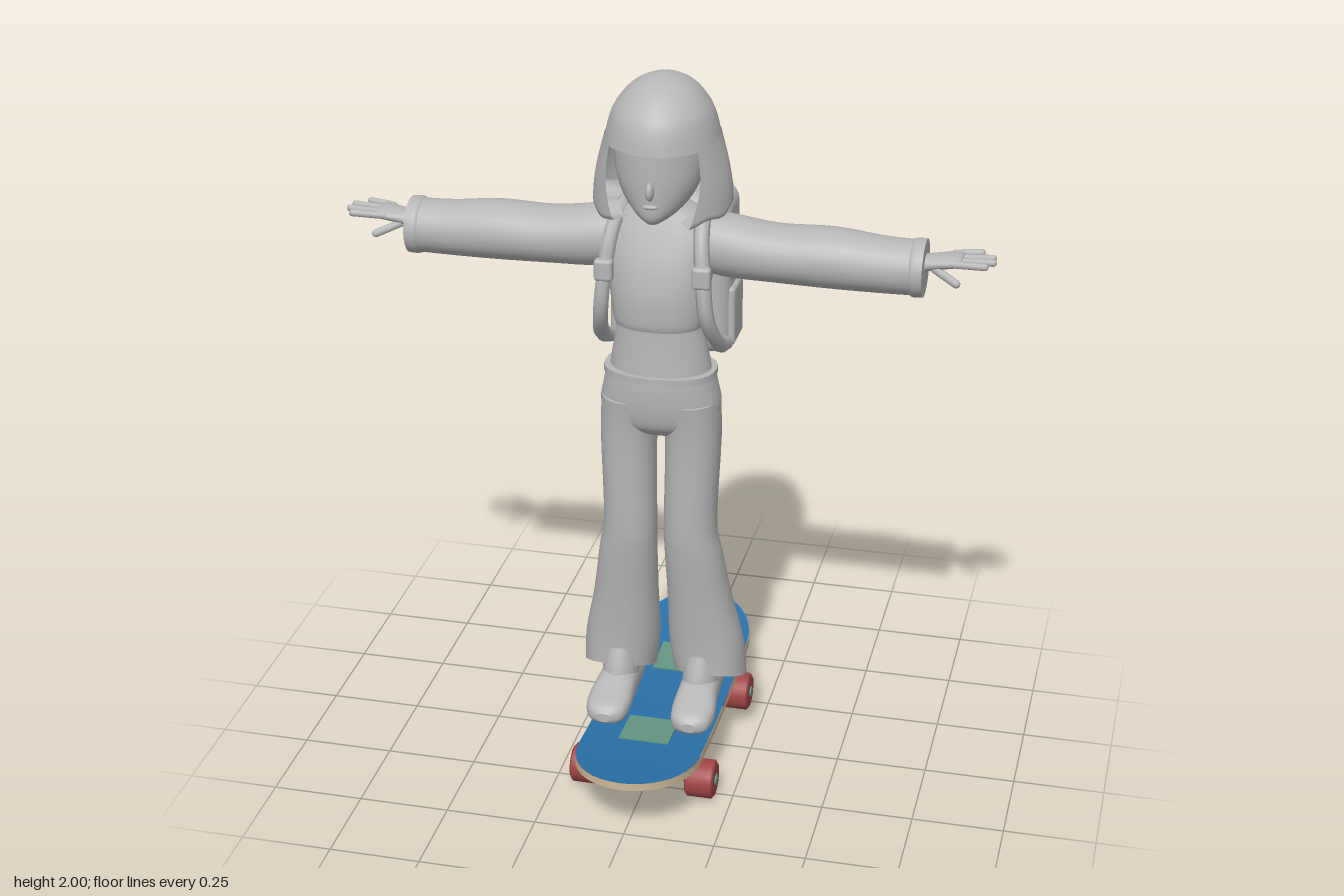
import * as THREE from 'three';
import { RoundedBoxGeometry } from 'three/addons/geometries/RoundedBoxGeometry.js';
import { ParametricGeometry } from 'three/addons/geometries/ParametricGeometry.js';

const material = (name, color, side = THREE.FrontSide) => {
  const m = new THREE.MeshStandardMaterial({ color, side });
  m.name = name;
  return m;
};
const cubic = (a, b, c, d, t) =>
  0.5 * (2 * b + (c - a) * t + (2 * a - 5 * b + 4 * c - d) * t * t + (3 * b - a - 3 * c + d) * t ** 3);

// Smooth closed body through rows of [position, centreU, radiusU, centreV, radiusV] along an axis
function loft(rows, axis = 'y', e = 2, n = 28, steps = 4) {
  const rings = [], pos = [], idx = [];
  const at = (i) => rows[Math.min(rows.length - 1, Math.max(0, i))];
  for (let i = 0; i < rows.length - 1; i++)
    for (let k = 0; k < steps; k++)
      rings.push(at(i).map((_, c) => cubic(at(i - 1)[c], at(i)[c], at(i + 1)[c], at(i + 2)[c], k / steps)));
  rings.push(at(rows.length - 1));
  const put = (p, u, v) => pos.push(...(axis === 'y' ? [u, p, v] : axis === 'x' ? [p, u, v] : [u, v, p]));
  const ring = ([p, cu, ru, cv, rv]) => {
    for (let j = 0; j < n; j++) {
      const a = (j / n) * Math.PI * 2, c = Math.cos(a), s = Math.sin(a);
      put(p, cu + ru * Math.sign(c) * Math.abs(c) ** (2 / e), cv + rv * Math.sign(s) * Math.abs(s) ** (2 / e));
    }
  };
  rings.forEach(ring);
  for (let i = 0; i < rings.length - 1; i++)
    for (let j = 0; j < n; j++) {
      const a = i * n + j, b = i * n + ((j + 1) % n);
      idx.push(a, b, a + n, b, b + n, a + n);
    }
  // flat end caps
  [rings[0], rings[rings.length - 1]].forEach((r, end) => {
    const base = pos.length / 3;
    ring(r);
    put(r[0], r[1], r[3]);
    for (let j = 0; j < n; j++) {
      const a = base + j, b = base + ((j + 1) % n);
      idx.push(...(end ? [a, b, base + n] : [b, a, base + n]));
    }
  });
  // make every face point outward
  let volume = 0;
  const P = (i) => new THREE.Vector3().fromArray(pos, i * 3);
  for (let i = 0; i < idx.length; i += 3) volume += P(idx[i]).dot(P(idx[i + 1]).cross(P(idx[i + 2])));
  if (volume < 0) idx.reverse();
  const g = new THREE.BufferGeometry();
  g.setAttribute('position', new THREE.Float32BufferAttribute(pos, 3));
  g.setIndex(idx);
  g.computeVertexNormals();
  return g;
}

function surface(fn, u, v) {
  const g = new ParametricGeometry(fn, u, v);
  g.computeVertexNormals();
  return g;
}

const tube = (points, r) => new THREE.TubeGeometry(
  new THREE.CatmullRomCurve3(points.map((p) => new THREE.Vector3(...p))), 32, r, 8);

export function createModel() {
  const model = new THREE.Group();
  const grey = material('figure grey', 0xb6b6b6);
  const greyOpen = material('hair grey', 0xb6b6b6, THREE.DoubleSide);
  const blue = material('deck blue', 0x2a70a8);
  const tan = material('deck edge tan', 0xcdb998);
  const red = material('wheel red', 0xa04545);
  const green = material('truck green', 0x639682);
  const add = (name, geometry, mat = grey, x = 0, y = 0, z = 0, parent = model) => {
    const m = new THREE.Mesh(geometry, mat);
    m.name = name;
    m.position.set(x, y, z);
    parent.add(m);
    return m;
  };
  // rod with round ends between two points
  const rod = (name, a, b, r, mat = grey) => {
    const A = new THREE.Vector3(...a), B = new THREE.Vector3(...b), d = B.clone().sub(A);
    const m = add(name, new THREE.CapsuleGeometry(r, d.length() - 2 * r, 4, 10), mat);
    m.position.copy(A).add(B).multiplyScalar(0.5);
    m.quaternion.setFromUnitVectors(new THREE.Vector3(0, 1, 0), d.normalize());
  };

  // Head and face
  add('head', loft([[1.64, 0, 0.02, 0.135, 0.03], [1.66, 0, 0.055, 0.1, 0.077], [1.7, 0, 0.09, 0.08, 0.1],
    [1.76, 0, 0.115, 0.065, 0.117], [1.85, 0, 0.125, 0.055, 0.125]]));
  add('nose', new THREE.SphereGeometry(1, 12, 8), grey, 0, 1.735, 0.182).scale.set(0.012, 0.025, 0.018);
  add('lips', new THREE.SphereGeometry(1, 12, 8), grey, 0, 1.692, 0.176).scale.set(0.022, 0.007, 0.01);
  add('neck', new THREE.CylinderGeometry(0.048, 0.055, 0.14, 20), grey, 0, 1.65, 0.03);

  // Bobbed hair: cap with fringe, then a curtain open at the face
  add('hairCap', loft([[2, 0, 0.01, 0.02, 0.01], [1.99, 0, 0.05, 0.024, 0.06], [1.965, 0, 0.09, 0.025, 0.105],
    [1.92, 0, 0.125, 0.03, 0.145], [1.88, 0, 0.14, 0.03, 0.163], [1.835, 0, 0.15, 0.031, 0.171]], 'y', 2, 40));
  add('hairCurtain', surface((u, v, p) => {
    const t = Math.min(1, v / 0.85), tuck = 1 - 0.35 * Math.max(0, (v - 0.85) / 0.15);
    const open = 0.86 - 0.28 * t * t;
    const a = -(open + u * (2 * Math.PI - 2 * open));
    const hem = 1.665 - 0.03 * Math.max(0, Math.cos(a)) + 0.006 * Math.sin(a * 9);
    const flare = (0.15 + 0.033 * Math.sin(t * 1.6)) * tuck;
    p.set(flare * Math.sin(a), 1.845 + (hem - 1.845) * t, 0.03 + (0.171 - 0.008 * t) * tuck * Math.cos(a));
  }, 64, 20), greyOpen);

  // Torso
  add('croppedTop', loft([[1.335, 0, 0.118, 0.07, 0.087], [1.36, 0, 0.124, 0.07, 0.093], [1.43, 0, 0.132, 0.068, 0.094],
    [1.51, 0, 0.146, 0.052, 0.094], [1.58, 0, 0.15, 0.035, 0.085], [1.63, 0, 0.115, 0.03, 0.068],
    [1.66, 0, 0.06, 0.03, 0.055]], 'y', 2.3));
  add('belly', loft([[1.17, 0, 0.142, 0.055, 0.1], [1.25, 0, 0.13, 0.06, 0.088], [1.36, 0, 0.108, 0.065, 0.078]]));
  add('hips', loft([[1.02, 0, 0.08, 0.055, 0.06], [1.05, 0, 0.145, 0.055, 0.088], [1.1, 0, 0.163, 0.053, 0.103],
    [1.16, 0, 0.153, 0.056, 0.104], [1.205, 0, 0.145, 0.057, 0.101]], 'y', 2.3));
  add('waistband', loft([[1.185, 0, 0.152, 0.057, 0.107], [1.205, 0, 0.152, 0.057, 0.107]], 'y', 2.3));

  for (const s of [1, -1]) {
    const side = s > 0 ? 'left' : 'right';

    // Flared trouser leg, hem higher at the front
    const leg = loft([[1.12, 0.08 * s, 0.079, 0.053, 0.1], [1, 0.089 * s, 0.075, 0.055, 0.086],
      [0.75, 0.084 * s, 0.072, 0.064, 0.075], [0.65, 0.092 * s, 0.079, 0.057, 0.075],
      [0.5, 0.105 * s, 0.089, 0.032, 0.082], [0.35, 0.12 * s, 0.104, 0.008, 0.095],
      [0.245, 0.13 * s, 0.1, 0, 0.102]], 'y', 2.2);
    const lp = leg.attributes.position;
    for (let i = 0; i < lp.count; i++)
      lp.setY(i, lp.getY(i) + lp.getZ(i) * 0.4 * Math.max(0, 0.45 - lp.getY(i)) / 0.2);
    leg.computeVertexNormals();
    add(side + 'TrouserLeg', leg);
    add(side + 'Ankle', loft([[0.2, 0.115 * s, 0.05, 0.06, 0.075], [0.27, 0.115 * s, 0.05, 0.06, 0.07],
      [0.34, 0.115 * s, 0.042, 0.05, 0.055]]));
    add(side + 'Shoe', loft([[-0.062, 0.115 * s, 0.025, 0.215, 0.025], [-0.045, 0.115 * s, 0.045, 0.215, 0.045],
      [0.03, 0.115 * s, 0.052, 0.225, 0.055], [0.11, 0.117 * s, 0.056, 0.222, 0.052],
      [0.18, 0.12 * s, 0.061, 0.21, 0.04], [0.23, 0.12 * s, 0.05, 0.203, 0.03],
      [0.25, 0.12 * s, 0.02, 0.2, 0.013]], 'z', 2.5));

    // Outstretched sleeve with cuff
    add(side + 'Sleeve', loft([[0.08 * s, 1.56, 0.075, 0.03, 0.07], [0.17 * s, 1.548, 0.084, 0.025, 0.082],
      [0.3 * s, 1.537, 0.077, 0.024, 0.084], [0.45 * s, 1.536, 0.08, 0.022, 0.086], [0.58 * s, 1.53, 0.074, 0.024, 0.077],
      [0.68 * s, 1.53, 0.072, 0.025, 0.074]], 'x'));
    add(side + 'Cuff', loft([[0.655 * s, 1.53, 0.072, 0.025, 0.074], [0.665 * s, 1.53, 0.077, 0.025, 0.079],
      [0.69 * s, 1.53, 0.076, 0.025, 0.078]], 'x'));

    // Hand
    add(side + 'Palm', loft([[0.67 * s, 1.54, 0.024, 0.022, 0.03], [0.72 * s, 1.55, 0.02, 0.02, 0.037],
      [0.77 * s, 1.557, 0.017, 0.016, 0.045], [0.785 * s, 1.558, 0.01, 0.016, 0.04]], 'x'));
    [[-0.025, -0.038, 0.835], [0.003, -0.003, 0.868], [0.031, 0.03, 0.872], [0.055, 0.064, 0.855]].forEach(([z0, z1, x], i) =>
      rod(side + 'Finger' + (i + 1), [0.75 * s, 1.556, z0 - 0.004], [x * s, 1.56, z1 - 0.004], 0.0095));
    rod(side + 'Thumb', [0.705 * s, 1.54, 0.035], [0.785 * s, 1.51, 0.08], 0.011);

    // Shoulder strap
    const strap = tube([[0.105, 1.6, -0.06], [0.108, 1.638, 0.01], [0.118, 1.6, 0.1], [0.13, 1.5, 0.14], [0.142, 1.38, 0.142],
      [0.158, 1.28, 0.06], [0.15, 1.23, -0.06]].map(([x, y, z]) => [x * s, y, z]), 0.021);
    add(side + 'Strap', strap);
    add(side + 'StrapBuckle', new RoundedBoxGeometry(0.05, 0.06, 0.03, 2, 0.01), grey, 0.13 * s, 1.5, 0.153);
    add(side + 'BackpackSidePocket', new RoundedBoxGeometry(0.03, 0.17, 0.12, 3, 0.013), grey, 0.157 * s, 1.3, -0.13);
  }

  // Backpack
  add('backpack', new RoundedBoxGeometry(0.32, 0.455, 0.18, 5, 0.05), grey, 0, 1.42, -0.13);
  add('backpackFlap', new RoundedBoxGeometry(0.27, 0.07, 0.1, 4, 0.03), grey, 0, 1.62, -0.19);
  add('backpackPocket', new RoundedBoxGeometry(0.2, 0.25, 0.03, 3, 0.014), grey, 0, 1.44, -0.22);
  add('backpackPocketTrim', tube([[-0.1, 1.56, -0.235], [-0.1, 1.34, -0.235], [-0.07, 1.31, -0.237],
    [0.07, 1.31, -0.237], [0.1, 1.34, -0.235], [0.1, 1.56, -0.235]], 0.008));
  add('backpackLowerRoll', new RoundedBoxGeometry(0.2, 0.045, 0.04, 3, 0.018), grey, 0, 1.265, -0.215);

  // Skateboard deck: straight sides, round ends, both ends curving up
  const L = 0.54, W = 0.17, T = 0.022;
  const board = new THREE.Group();
  board.name = 'skateboard';
  model.add(board);
  const halfWidth = (z) => W * Math.sqrt(Math.max(0, 1 - (Math.max(0, Math.abs(z) - 0.32) / 0.22) ** 2));
  const deckY = (z) => 0.143 + 0.047 * (z / L) ** 2;
  for (const [name, sign, drop] of [['deckTop', -1, 0], ['deckUnderside', 1, T]])
    add(name, surface((u, v, p) => {
      const z = -L * Math.cos(Math.PI * v);
      p.set(sign * (2 * u - 1) * halfWidth(z), deckY(z) - drop, z);
    }, 4, 48), blue, 0, 0, 0, board);
  add('deckEdge', surface((u, v, p) => {
    const z = L * Math.cos(2 * Math.PI * u);
    p.set((u < 0.5 ? 1.015 : -1.015) * halfWidth(z), deckY(z) - T * (1 - v) + 0.001, z * 1.003);
  }, 96, 1), tan, 0, 0, 0, board);

  // Trucks and wheels
  const wheelProfile = [[0.014, -0.04], [0.045, -0.04], [0.054, -0.033], [0.054, 0.033], [0.045, 0.04], [0.014, 0.04]];
  for (const [end, plateZ, axleZ] of [['front', 0.205, 0.262], ['rear', -0.2, -0.216]]) {
    const part = (name, g, mat, x, y, z) => add(end + name, g, mat, x, y, z, board);
    const plate = part('MountPlate', new THREE.BoxGeometry(0.14, 0.006, 0.135), green, 0, deckY(plateZ) + 0.002, plateZ);
    plate.rotation.x = -0.3 * plateZ;
    part('BasePlate', new THREE.BoxGeometry(0.14, 0.014, 0.165), green, 0, 0.118, axleZ - Math.sign(axleZ) * 0.012);
    part('Hanger', new THREE.BoxGeometry(0.07, 0.05, 0.07), green, 0, 0.09, axleZ);
    part('Kingpin', new THREE.CylinderGeometry(0.016, 0.016, 0.05, 12), green, 0, 0.09, axleZ - Math.sign(axleZ) * 0.045);
    part('Axle', new THREE.CylinderGeometry(0.016, 0.016, 0.414, 14), green, 0, 0.056, axleZ).rotation.z = Math.PI / 2;
    for (const s of [1, -1])
      part(s > 0 ? 'LeftWheel' : 'RightWheel',
        new THREE.LatheGeometry(wheelProfile.map((p) => new THREE.Vector2(...p)), 28), red, s * 0.163, 0.055, axleZ)
        .rotation.z = Math.PI / 2;
  }
  return model;
}
